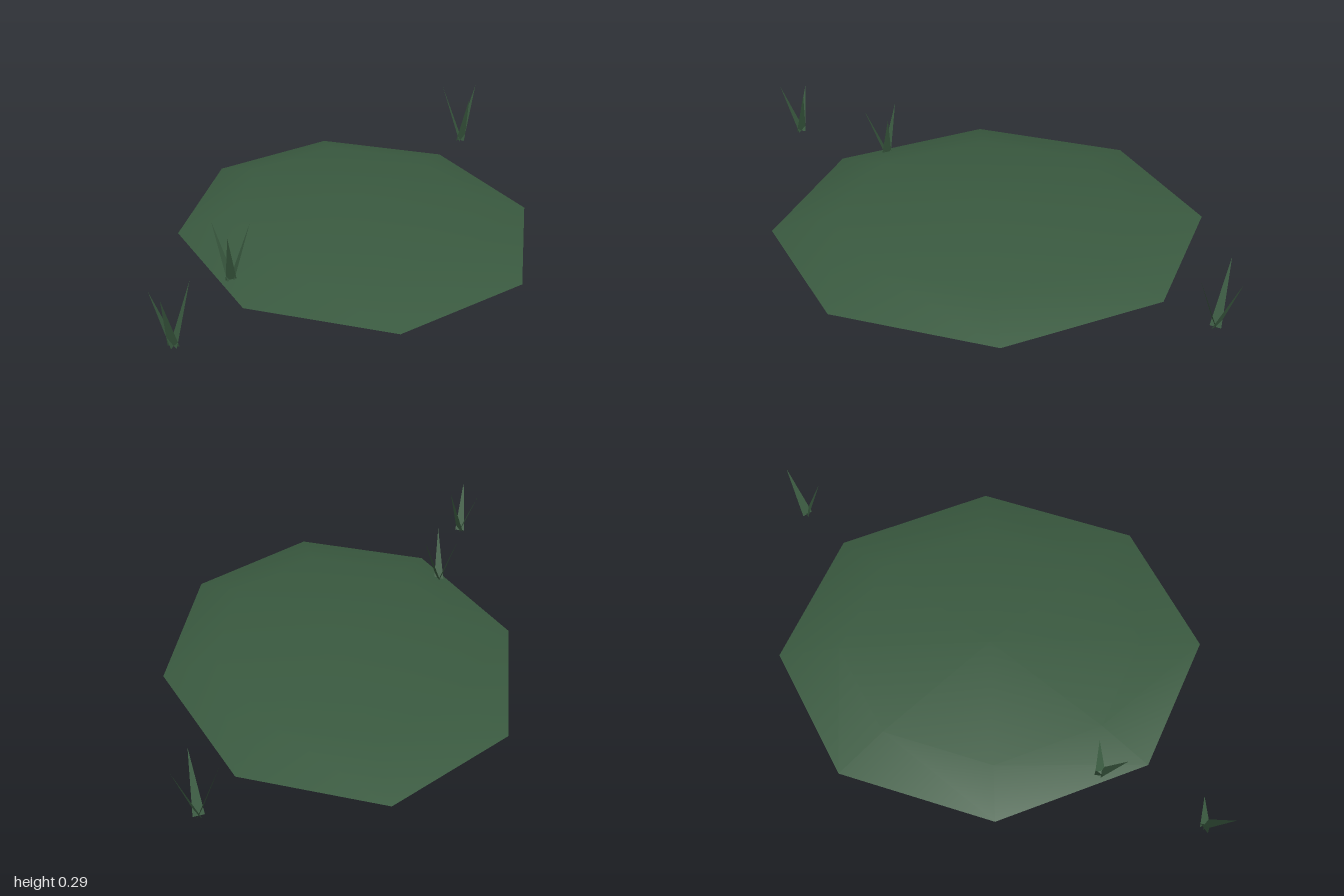
import * as THREE from 'three';
import { mergeVertices } from 'three/addons/utils/BufferGeometryUtils.js';

const green = new THREE.MeshStandardMaterial({ color: 0x3a5a40, side: THREE.DoubleSide });
green.name = 'grass green';

// Low open dome: eight sides, two rings, soft normals
function makeMound() {
  let geo = new THREE.SphereGeometry(1, 8, 2, 0, Math.PI * 2, 0, Math.PI / 2);
  geo.deleteAttribute('uv');
  geo.deleteAttribute('normal');
  geo = mergeVertices(geo, 1e-4);
  geo.scale(0.81, 0.107, 0.985);
  geo.computeVertexNormals();
  const mound = new THREE.Mesh(geo, green);
  mound.name = 'mound';
  mound.position.set(0.05, 0, -0.015);
  return mound;
}

// Flat triangular blade whose base lies across the direction it leans
function makeBlade(x, z, [tx, ty, tz], halfWidth = 0.024) {
  const side = new THREE.Vector3(tz - z, 0, x - tx).setLength(halfWidth);
  const base = new THREE.Vector3(x, 0, z);
  const geo = new THREE.BufferGeometry().setFromPoints([
    base.clone().add(side), base.clone().sub(side), new THREE.Vector3(tx, ty, tz),
  ]);
  geo.computeVertexNormals();
  const blade = new THREE.Mesh(geo, green);
  blade.name = 'grassBlade';
  return blade;
}

// Each tuft: base centre and the tips of its three blades
const tufts = [
  { name: 'backLeftTuft', x: 0.785, z: -0.892,
    tips: [[0.69, 0.29, -0.945], [0.87, 0.295, -0.945], [0.795, 0.27, -0.795]] },
  { name: 'moundTuft', x: -0.553, z: 0.463,
    tips: [[-0.62, 0.255, 0.41], [-0.467, 0.25, 0.443], [-0.565, 0.25, 0.56]] },
  { name: 'frontRightTuft', x: -0.797, z: 0.91,
    tips: [[-0.875, 0.22, 0.875], [-0.722, 0.25, 0.87], [-0.83, 0.245, 0.995]] },
];

export function createModel() {
  const model = new THREE.Group();
  model.name = 'grassyMound';
  model.add(makeMound());
  for (const { name, x, z, tips } of tufts) {
    const tuft = new THREE.Group();
    tuft.name = name;
    for (const tip of tips) tuft.add(makeBlade(x, z, tip));
    model.add(tuft);
  }
  return model;
}
